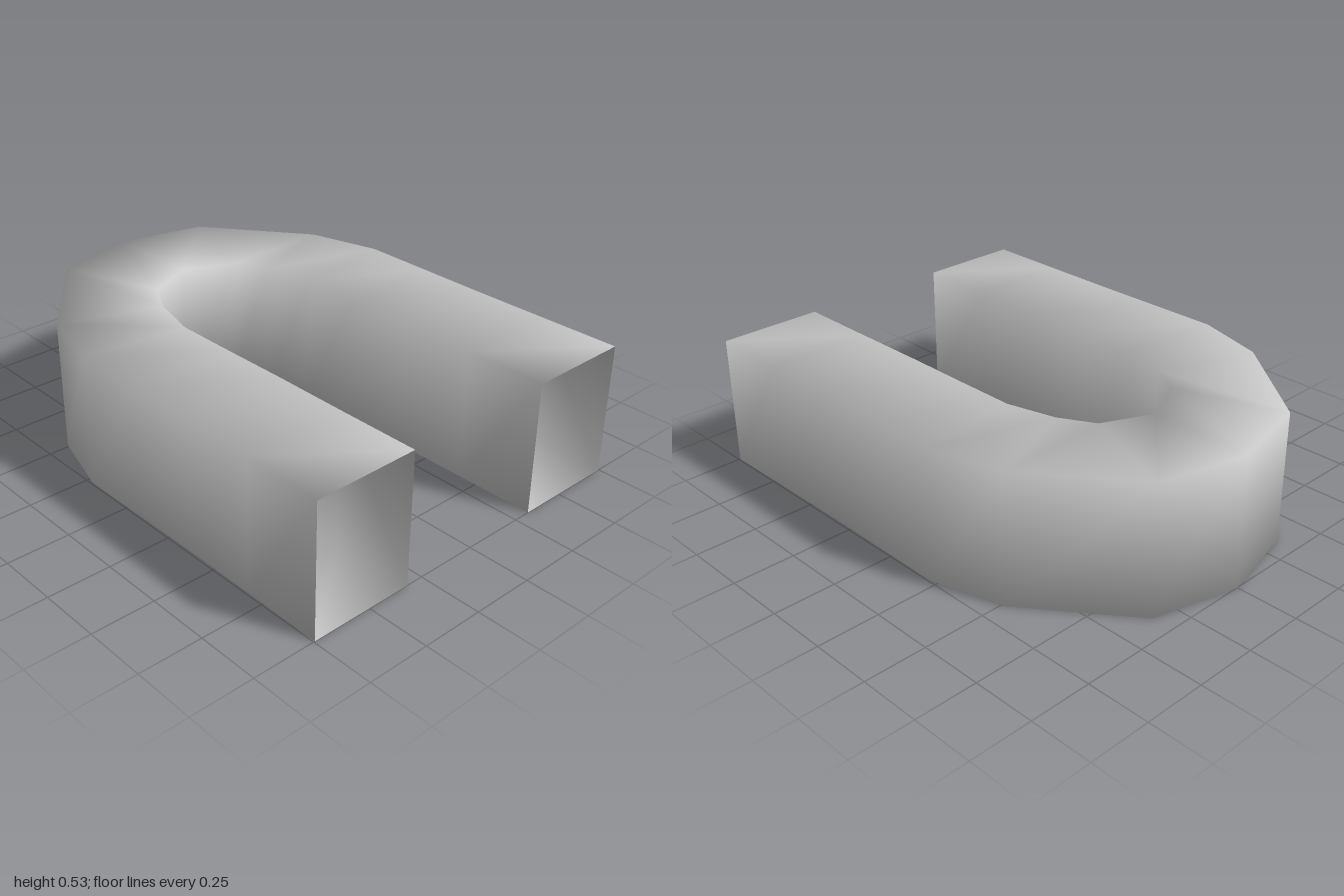
import * as THREE from 'three';

const HEIGHT = 0.533;

// Half of the bend as cross-sections: outer x, z then inner x, z
const HALF = [
  [0.745, 1, 0.32, 1],
  [0.742, 0.67, 0.32, 0.67],
  [0.74, 0.35, 0.318, 0.35],
  [0.742, 0.08, 0.32, 0.08],
  [0.744, -0.22, 0.32, -0.17],
  [0.662, -0.51, 0.27, -0.365],
  [0.348, -0.914, 0.195, -0.5],
];

export function createModel() {
  const group = new THREE.Group();
  group.name = 'uShapedDuct';
  const grey = new THREE.MeshStandardMaterial({ color: 0xcccccc, side: THREE.DoubleSide });
  grey.name = 'light grey';

  // Right leg, middle of the bend, then the mirrored leg
  const sections = [
    ...HALF.map(([ox, oz, ix, iz]) => [-ox, oz, -ix, iz]),
    [0, -1, 0, -0.59],
    ...HALF.slice().reverse(),
  ];

  // Four shared corners per section give the soft shading across the edges
  const positions = [];
  const index = [];
  sections.forEach(([ox, oz, ix, iz], s) => {
    positions.push(ox, 0, oz, ox, HEIGHT, oz, ix, HEIGHT, iz, ix, 0, iz);
    if (s === sections.length - 1) return;
    for (let k = 0; k < 4; k++) {
      const a = s * 4 + k;
      const b = s * 4 + ((k + 1) % 4);
      index.push(a, b, a + 4, b, b + 4, a + 4);
    }
  });

  // Square tube, open at both front ends
  const geometry = new THREE.BufferGeometry();
  geometry.setAttribute('position', new THREE.Float32BufferAttribute(positions, 3));
  geometry.setIndex(index);
  geometry.computeVertexNormals();
  const tube = new THREE.Mesh(geometry, grey);
  tube.name = 'bentSquareTube';
  group.add(tube);
  return group;
}
